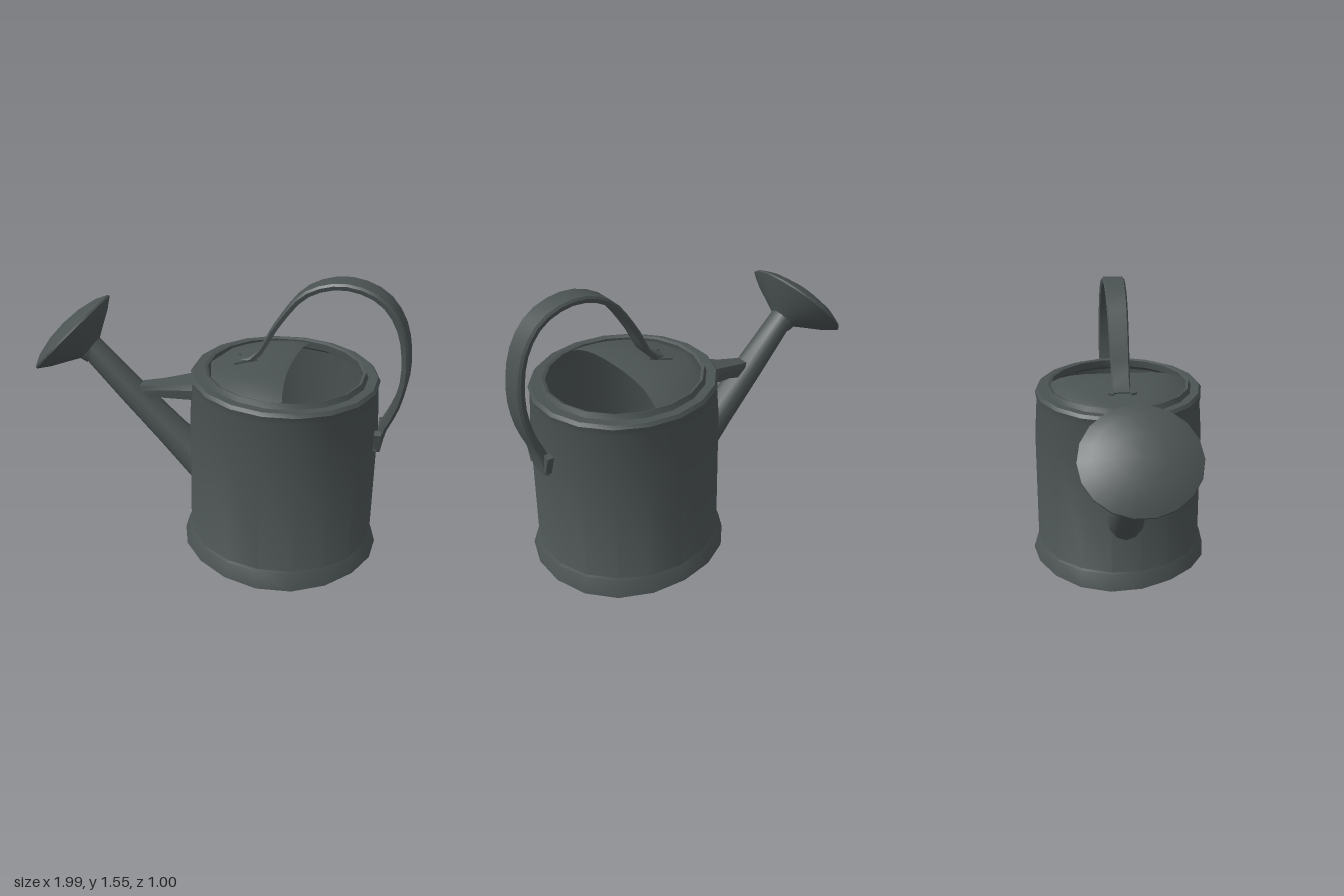
import * as THREE from 'three';
import { toCreasedNormals } from 'three/addons/utils/BufferGeometryUtils.js';

const metal = new THREE.MeshStandardMaterial({ color: 0x4b5252, side: THREE.DoubleSide });
metal.name = 'dark zinc';

function part(name, geometry, crease = 0.7) {
  const mesh = new THREE.Mesh(toCreasedNormals(geometry, crease), metal);
  mesh.name = name;
  return mesh;
}

const lathe = (profile, sides) =>
  new THREE.LatheGeometry(profile.map(([r, y]) => new THREE.Vector2(r, y)), sides);

// Skins rings of {x, y, u: [ux, uy], w}: u is the half-height vector in the xy plane, w the half-width in z.
function loft(rings, shape) {
  const n = shape.length, pos = [], idx = [];
  rings.forEach(({ x, y, u, w }) =>
    shape.forEach(([a, b]) => pos.push(x + a * u[0], y + a * u[1], b * w)));
  for (let i = 0; i < rings.length - 1; i++) {
    for (let j = 0; j < n; j++) {
      const a = i * n + j, b = i * n + (j + 1) % n;
      idx.push(a, b, a + n, b, b + n, a + n);
    }
  }
  const last = (rings.length - 1) * n;
  for (let j = 1; j < n - 1; j++) idx.push(0, j + 1, j, last, last + j, last + j + 1);
  const g = new THREE.BufferGeometry();
  g.setAttribute('position', new THREE.Float32BufferAttribute(pos, 3));
  g.setIndex(idx);
  return g;
}

const circle = Array.from({ length: 12 }, (_, i) => {
  const t = (i / 12) * Math.PI * 2;
  return [Math.cos(t), Math.sin(t)];
});
const strap = [[1, -0.85], [1, 0.85], [0.3, 1], [-1, 0.9], [-1, -0.9], [0.3, -1]];

export function createModel() {
  const group = new THREE.Group();

  // Open can: flared foot, wall, rolled rim and neck, then the inside back down
  const can = lathe([
    [0.38, 0.11], [0.487, 0.022], [0.5, 0.026], [0.478, 0.1], [0.47, 0.11], [0.47, 0.75],
    [0.456, 0.96], [0.464, 1.0], [0.452, 1.018], [0.405, 1.015], [0.393, 1.042],
    [0.378, 1.035], [0.383, 0.995], [0.44, 0.96], [0.455, 0.72], [0.455, 0.125],
    [0.38, 0.125], [0.38, 0.11],
  ], 18);
  // Slightly battered lower edge
  const cp = can.attributes.position;
  for (let i = 0; i < cp.count; i++) {
    if (cp.getY(i) > 0.05) continue;
    const angle = Math.atan2(cp.getZ(i), cp.getX(i));
    cp.setY(i, cp.getY(i) + 0.012 * Math.sin(3 * angle + 0.6) - 0.009);
  }
  can.scale(1.05, 1, 1);
  can.translate(0.365, 0, 0);
  group.add(part('can', can));

  // Half lid, arched towards its open edge
  const lid = new THREE.PlaneGeometry(2, 1, 12, 8);
  const lp = lid.attributes.position;
  for (let i = 0; i < lp.count; i++) {
    const s = lp.getX(i), t = lp.getY(i) + 0.5;
    const x = -0.03 + t * (0.43 + 0.04 * s * s);
    const z = s * 0.385 * Math.sqrt(Math.max(0, 1 - ((x - 0.385) / 0.415) ** 2));
    lp.setXYZ(i, x, 1.022 + 0.06 * (1 - s ** 4) * Math.sin(t * 1.9), z);
  }
  group.add(part('lid', lid));

  // Spout, cut upright where it meets the can
  group.add(part('spout', loft([
    { x: -0.1, y: 0.425, u: [0, 0.14], w: 0.105 },
    { x: -0.25, y: 0.57, u: [0.06, 0.062], w: 0.09 },
    { x: -0.48, y: 0.79, u: [0.052, 0.054], w: 0.078 },
    { x: -0.71, y: 1.02, u: [0.045, 0.047], w: 0.066 },
  ], circle)));

  // Rose: shallow cone with a domed face
  const rose = lathe([
    [0.06, -0.17], [0.07, -0.13], [0.13, -0.095], [0.21, -0.05], [0.272, -0.005],
    [0.27, 0.005], [0.21, 0.036], [0.11, 0.06], [0, 0.068],
  ], 18);
  rose.scale(1, 1, 1.07);
  rose.rotateZ(Math.atan2(0.735, 0.68));
  rose.translate(-0.812, 1.092, 0);
  group.add(part('rose', rose));

  // Brace between spout and can
  group.add(part('brace', loft([
    { x: -0.41, y: 0.8, u: [-0.015, 0.04], w: 0.04 },
    { x: -0.3, y: 0.83, u: [-0.008, 0.035], w: 0.055 },
    { x: -0.1, y: 0.875, u: [0, 0.045], w: 0.1 },
  ], strap), 0.4));

  // Strap handle arching from the back of the can to the lid
  const curve = new THREE.CatmullRomCurve3([
    [0.865, 0.67], [0.885, 0.78], [0.945, 0.93], [0.975, 1.12], [0.935, 1.35], [0.83, 1.485],
    [0.65, 1.535], [0.47, 1.475], [0.33, 1.3], [0.215, 1.1], [0.13, 1.055],
  ].map(([x, y]) => new THREE.Vector3(x, y, 0)));
  const rings = [];
  for (let i = 0; i <= 26; i++) {
    const t = i / 26, p = curve.getPointAt(t), d = curve.getTangentAt(t);
    const h = 0.02 - 0.006 * t;
    rings.push({ x: p.x, y: p.y, u: [d.y * h, -d.x * h], w: 0.068 - 0.02 * t * t });
  }
  group.add(part('handle', loft(rings, strap), 0.6));

  // Flared feet of the handle: two ears on the can, two prongs on the lid
  for (const side of [-1, 1]) {
    const ear = new THREE.BoxGeometry(0.035, 0.1, 0.035);
    ear.rotateX(side * 0.3);
    ear.translate(0.872, 0.74, side * 0.07);
    group.add(part('handleEar', ear));

    const prong = new THREE.BoxGeometry(0.12, 0.014, 0.03);
    prong.rotateY(side * 0.4);
    prong.rotateZ(0.2);
    prong.translate(0.165, 1.072, side * 0.04);
    group.add(part('handleProng', prong));
  }
  return group;
}
